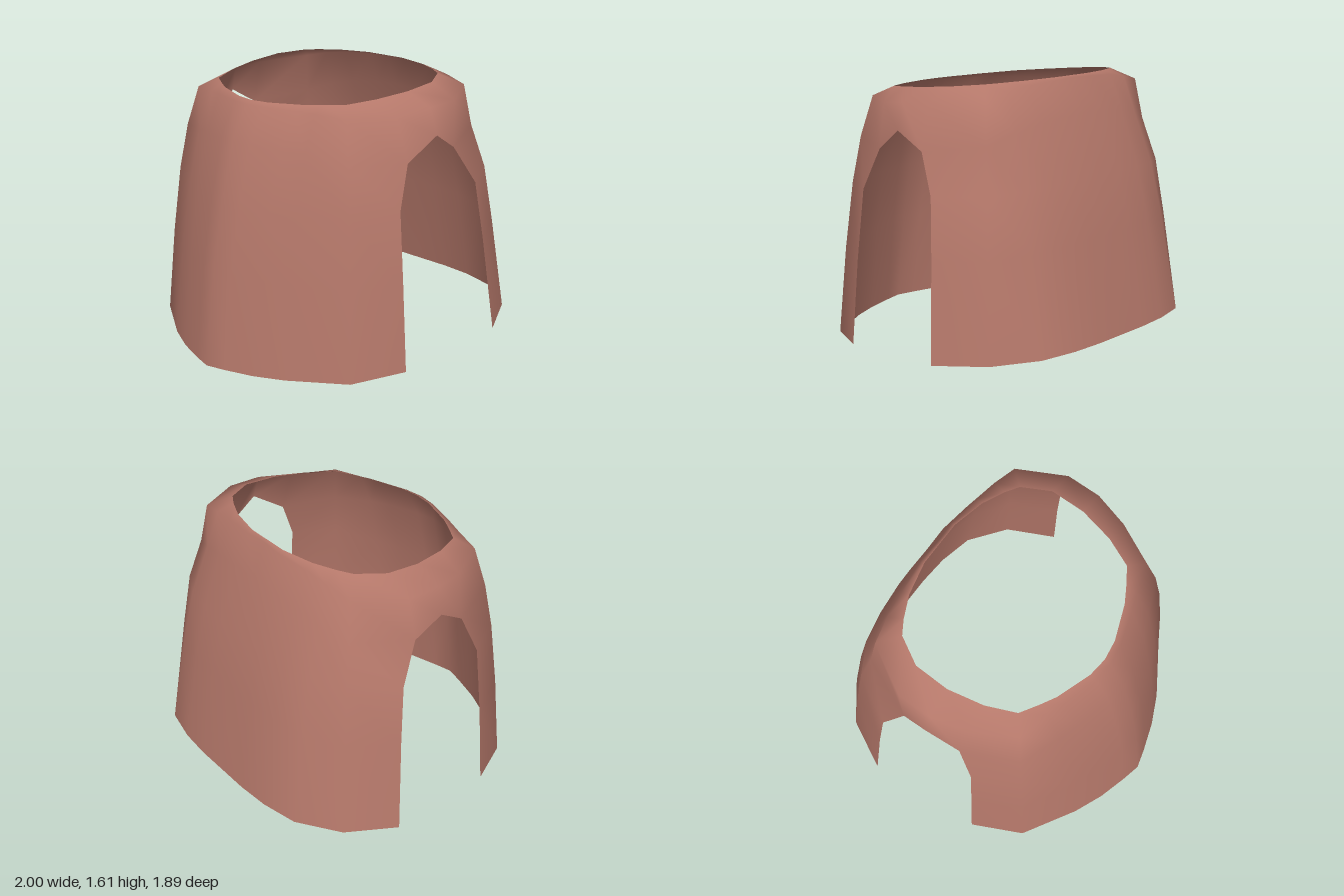
import * as THREE from 'three';

// Half outlines in plan [x, z], from the centre line out to the edge of the side opening
const front = {
  rim: [[0, 0.565], [0.12, 0.55], [0.33, 0.475], [0.42, 0.425], [0.525, 0.36], [0.6, 0.19]],
  hem: [[0, 0.945], [0.12, 0.915], [0.3, 0.86], [0.48, 0.78], [0.8, 0.585], [0.945, 0.29]],
  // per row: [outward share, height] at the centre and at the opening
  centre: [[0.1, 1.48], [0.387, 1.28], [0.627, 0.92], [0.81, 0.56]],
  edge: [[0.45, 1.46], [0.63, 1.21], [0.75, 0.97], [0.88, 0.55]],
  edgeZ: [0.19, 0.165, 0.265, 0.28],
};
const back = {
  rim: [[0, -0.545], [0.14, -0.545], [0.34, -0.5], [0.47, -0.44], [0.55, -0.39], [0.64, -0.23]],
  hem: [[0, -0.945], [0.2, -0.945], [0.4, -0.93], [0.62, -0.88], [0.85, -0.71], [1, -0.42]],
  centre: [[0.05, 1.6], [0.26, 1.41], [0.54, 1.07], [0.74, 0.74]],
  edge: [[0.47, 1.5], [0.55, 1.24], [0.72, 1.02], [0.83, 0.68]],
  edgeZ: [-0.23, -0.2, -0.33, -0.37],
};

const rimY = (z) => 1.555 - 0.1 * z;
const hemY = (z) => 0.084 - 0.09 * z - (z > 0.9 ? 0 : 0.001);

// Vertical columns of one panel: rim, shoulder rows, hem
function panelColumns({ rim, hem, centre, edge, edgeZ }) {
  const { lerp } = THREE.MathUtils;
  const last = rim.length - 1;
  return rim.map(([rx, rz], j) => {
    const [hx, hz] = hem[j];
    const w = (hx / hem[last][0]) ** 2;
    const rows = centre.map(([t, y], r) => {
      const share = lerp(t, edge[r][0], w);
      const z = j === last ? edgeZ[r] : lerp(rz, hz, share);
      return [lerp(rx, hx, share), lerp(y, edge[r][1], w), z];
    });
    return [[rx, rimY(rz), rz], ...rows, [hx, Math.max(0, hemY(hz)), hz]];
  });
}

export function createModel() {
  const group = new THREE.Group();

  // Short column over the peak of the side arch
  const peak = [0.855, 1.34, -0.03];
  const archColumn = [[0.645, rimY(-0.02), -0.02], [0.81, 1.49, -0.02], peak, peak, peak, peak];

  // Right half runs front to back, then mirrored to close the ring
  const half = [...panelColumns(front), archColumn, ...panelColumns(back).reverse()];
  const mirrored = half.slice(1, -1).reverse().map((col) => col.map(([x, y, z]) => [-x, y, z]));
  const columns = [...half, ...mirrored];
  const rows = 6, count = columns.length;
  const archIndex = 6;
  const isArch = (c) => c === archIndex || c === count - archIndex;

  const index = [];
  for (let c = 0; c < count; c++) {
    const n = (c + 1) % count;
    // next to the opening only the shoulder band is filled
    const depth = isArch(c) || isArch(n) ? 2 : rows - 1;
    for (let r = 0; r < depth; r++) {
      const a = c * rows + r, b = n * rows + r;
      index.push(a, a + 1, b + 1, a, b + 1, b);
    }
  }
  // slope from the arch shoulders down to the panel sides is left open
  const geometry = new THREE.BufferGeometry();
  geometry.setAttribute('position', new THREE.Float32BufferAttribute(columns.flat(2), 3));
  geometry.setIndex(index);
  geometry.computeVertexNormals();

  const material = new THREE.MeshStandardMaterial({ color: 0xb5786a, side: THREE.DoubleSide });
  const shell = new THREE.Mesh(geometry, material);
  shell.name = 'tunicShell';
  group.add(shell);
  return group;
}
